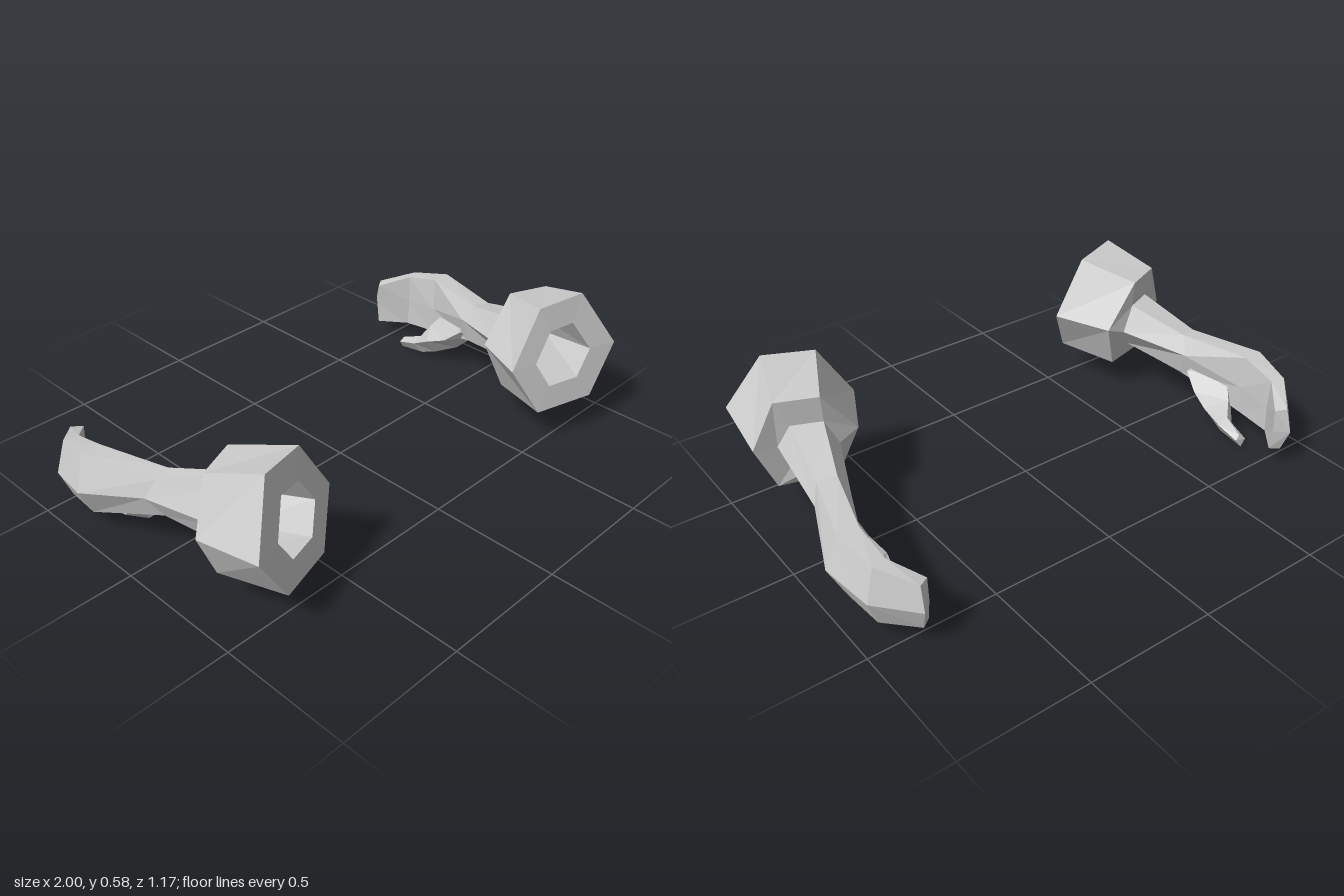
import * as THREE from 'three';

// Cross-sections run counter-clockwise seen from the front, given for the left (+x) side.
const ARM = [
  [[.87, .313, .3], [.83, .405, .265], [.72, .405, .22], [.67, .3, .21], [.73, .21, .25], [.83, .21, .3]],
  [[.9, .26, -.02], [.87, .335, .01], [.8, .34, -.01], [.775, .27, -.05], [.79, .175, -.02], [.86, .195, .03]],
  [[1, .204, -.267], [.955, .335, -.285], [.875, .335, -.285], [.865, .2, -.28], [.87, .085, -.29], [.94, .08, -.285]],
  [[.96, .172, -.455], [.925, .3, -.445], [.87, .3, -.43], [.87, .18, -.425], [.87, .07, -.43], [.92, .065, -.44]],
  [[.83, .16, -.586], [.825, .254, -.56], [.785, .25, -.535], [.785, .16, -.54], [.785, .075, -.53], [.82, .072, -.555]],
];
const THUMB = [
  [[.785, .2, -.06], [.84, .165, -.03], [.88, .2, -.06], [.83, .25, -.1]],
  [[.765, .14, -.13], [.83, .088, -.11], [.9, .12, -.15], [.87, .22, -.2]],
  [[.745, .11, -.21], [.8, .04, -.205], [.865, .075, -.25], [.83, .14, -.26]],
  [[.755, .065, -.29], [.79, .016, -.27], [.83, .045, -.29], [.8, .085, -.29]],
  [[.765, .035, -.38], [.79, 0, -.385], [.812, .03, -.385], [.785, .053, -.375]],
];
const CUFF_FRONT = [[.93, .355, .585], [.81, .577, .49], [.62, .56, .435], [.485, .34, .43], [.58, .147, .5], [.81, .16, .578]];
const CUFF_BACK = [[.955, .316, .32], [.875, .508, .28], [.725, .508, .218], [.59, .33, .215], [.66, .135, .26], [.88, .135, .317]];

// Skin a row of rings with flat facets; side = -1 mirrors in x and flips the winding.
function loft(name, rings, side, capStart, capEnd) {
  const pos = [];
  const tri = (a, b, c) => {
    for (const p of side > 0 ? [a, b, c] : [a, c, b]) pos.push(p[0] * side, p[1], p[2]);
  };
  const n = rings[0].length;
  for (let r = 0; r < rings.length - 1; r++) {
    const a = rings[r], b = rings[r + 1];
    for (let i = 0; i < n; i++) {
      const j = (i + 1) % n;
      tri(a[i], b[i], a[j]);
      tri(a[j], b[i], b[j]);
    }
  }
  const first = rings[0], last = rings[rings.length - 1];
  for (let i = 1; i < n - 1; i++) {
    if (capStart) tri(first[0], first[i], first[i + 1]);
    if (capEnd) tri(last[0], last[i + 1], last[i]);
  }
  const geo = new THREE.BufferGeometry();
  geo.setAttribute('position', new THREE.Float32BufferAttribute(pos, 3));
  geo.computeVertexNormals();
  const mesh = new THREE.Mesh(geo, new THREE.MeshStandardMaterial({
    color: 0xcccccc, flatShading: true, side: THREE.DoubleSide,
  }));
  mesh.name = name;
  return mesh;
}

// Shrink a ring towards a centre point
const shrink = (ring, c, k) => ring.map(p => p.map((v, i) => c[i] + (v - c[i]) * k));

export function createModel() {
  const model = new THREE.Group();
  model.name = 'pairOfArms';
  const hole = shrink(CUFF_FRONT, [.695, .355, .505], .53);
  for (const [label, side] of [['left', 1], ['right', -1]]) {
    const arm = new THREE.Group();
    arm.name = label + 'Arm';
    arm.add(
      // Hexagonal cuff: funnel wall, front rim, outside and back, meeting the forearm
      loft(label + 'Cuff', [ARM[0], hole, CUFF_FRONT, CUFF_BACK, ARM[0]], side, false, false),
      // Forearm flowing into the curled mitten hand, open into the cuff
      loft(label + 'ForearmAndHand', ARM, side, false, true),
      loft(label + 'Thumb', THUMB, side, true, true),
    );
    model.add(arm);
  }
  return model;
}
